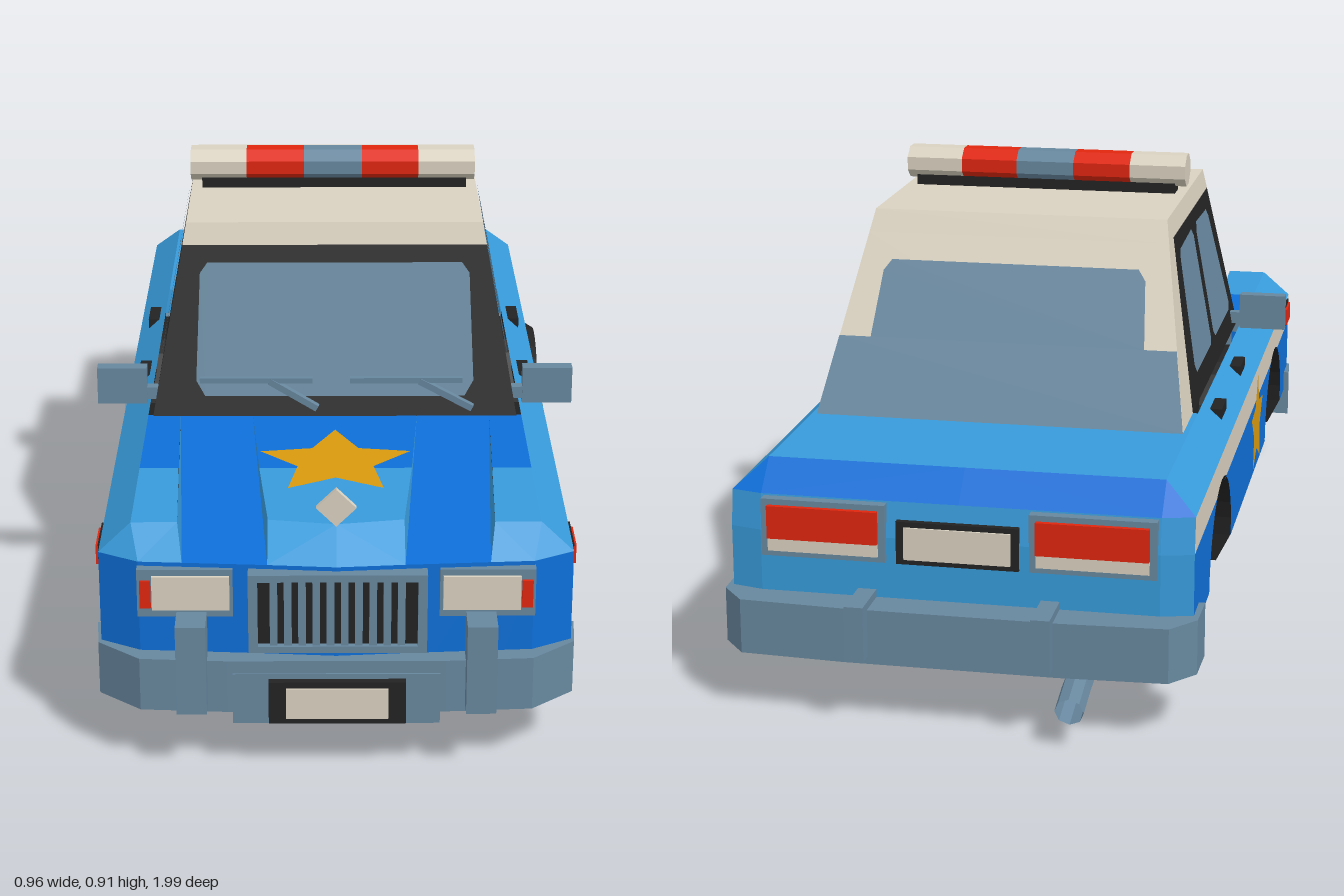
import * as THREE from 'three';

const mat = (name, color) => Object.assign(
  new THREE.MeshStandardMaterial({ color, flatShading: true, side: THREE.DoubleSide }), { name });
const blue = mat('body blue', 0x0e6fd8), light = mat('light blue', 0x389bdb), cream = mat('cream', 0xd9d1c0),
  black = mat('black', 0x232323), steel = mat('steel', 0x67879e), red = mat('red', 0xe0260f), gold = mat('gold', 0xd9990f);

export function createModel() {
  const car = new THREE.Group();
  car.name = 'patrolCar';
  const SIDES = [1, -1];

  const add = (name, geo, m, x = 0, y = 0, z = 0) => {
    const mesh = new THREE.Mesh(geo, m);
    mesh.name = name;
    mesh.position.set(x, y, z);
    car.add(mesh);
    return mesh;
  };
  // Box from its limits
  const box = (name, m, x0, x1, y0, y1, z0, z1) => add(name,
    new THREE.BoxGeometry(Math.abs(x1 - x0), y1 - y0, z1 - z0), m, (x0 + x1) / 2, (y0 + y1) / 2, (z0 + z1) / 2);
  // Flat convex faces, each given as a loop of corners
  const faces = (name, m, polys) => {
    const p = [];
    for (const f of polys) for (let i = 1; i < f.length - 1; i++) p.push(...f[0], ...f[i], ...f[i + 1]);
    const g = new THREE.BufferGeometry();
    g.setAttribute('position', new THREE.Float32BufferAttribute(p, 3));
    g.computeVertexNormals();
    return add(name, g, m);
  };
  // The same faces on both sides of the car
  const both = (name, m, polys) => SIDES.forEach(s =>
    faces(name, m, polys.map(f => f.map(([x, y, z]) => [s * x, y, z]))));
  // Thin bar between two points
  const bar = (name, m, a, b, w) => {
    const A = new THREE.Vector3(...a), B = new THREE.Vector3(...b);
    const mesh = add(name, new THREE.BoxGeometry(w, w, A.distanceTo(B)), m);
    mesh.position.copy(A).add(B).multiplyScalar(0.5);
    mesh.lookAt(B);
  };
  // Piecewise linear lookup
  const lerp = (t, v) => {
    for (let i = 1; i < t.length; i++) if (v <= t[i][0] || i === t.length - 1) {
      const [a, p] = t[i - 1], [b, q] = t[i];
      return p + (q - p) * (v - a) / (b - a);
    }
  };

  // Body sides: colour bands that stop at the wheel arches
  const bodyX = y => lerp([[0.12, 0.405], [0.18, 0.435], [0.405, 0.435], [0.46, 0.375]], y);
  const frontZ = y => lerp([[0.12, 0.88], [0.405, 0.88], [0.46, 0.87]], y);
  const rearZ = y => lerp([[0.12, -0.84], [0.18, -0.85], [0.337, -0.85], [0.405, -0.84], [0.46, -0.8]], y);
  const at = (z, y) => [bodyX(y), y, Math.min(frontZ(y), Math.max(rearZ(y), z))];
  const edge = [[1, 0.12]];
  for (const c of [0.55, -0.45]) {
    edge.push([c + 0.175, 0.12]);
    for (let i = 0; i <= 14; i++) {
      const t = Math.PI * i / 14;
      edge.push([c + 0.175 * Math.cos(t), 0.177 + 0.175 * Math.sin(t)]);
    }
    edge.push([c - 0.175, 0.12]);
  }
  edge.push([-1, 0.12]);
  const segs = edge.slice(1).map((b, i) => [edge[i], b]);
  const bands = [['sill', blue, 0.12, 0.18], ['bodySide', blue, 0.18, 0.337],
    ['sideStripe', cream, 0.337, 0.405], ['shoulder', light, 0.405, 0.46]];
  for (const [name, m, y0, y1] of bands) {
    const low = yb => Math.min(y1, Math.max(y0, yb));
    both(name, m, segs.filter(([a, b]) => a[0] - b[0] > 1e-4).map(([a, b]) =>
      [at(a[0], low(a[1])), at(b[0], low(b[1])), at(b[0], y1), at(a[0], y1)]));
  }
  // Arch linings and floor
  both('archLining', black, segs.map(([a, b]) => {
    const p = at(...a), q = at(...b);
    return [p, q, [0.28, q[1], q[2]], [0.28, p[1], p[2]]];
  }));
  box('floor', black, -0.28, 0.28, 0.12, 0.39, -0.84, 0.88);

  // Front fascia and rear panel
  const nose = [[0, 0.945], [0.125, 0.935], [0.28, 0.925], [0.36, 0.92], [0.435, 0.88]];
  both('frontFascia', blue, nose.slice(1).map(([x, z], i) =>
    [[nose[i][0], 0.12, nose[i][1]], [x, 0.12, z], [x, 0.405, z], [nose[i][0], 0.405, nose[i][1]]]));
  const rearPoint = (x, y) => [x, y, rearZ(y) - 0.015];
  both('rearPanel', light, [[0.12, 0.18], [0.18, 0.337], [0.337, 0.405]].flatMap(([a, b]) => [
    [rearPoint(0, a), rearPoint(0.375, a), rearPoint(0.375, b), rearPoint(0, b)],
    [rearPoint(0.375, a), at(-1, a), at(-1, b), rearPoint(0.375, b)]]));
  both('trunkLip', blue, [[[0, 0.46, -0.8], at(-1, 0.46), rearPoint(0.375, 0.405), rearPoint(0, 0.405)],
    [at(-1, 0.46), at(-1, 0.405), rearPoint(0.375, 0.405)]]);
  both('trunkLid', light, [[[0, 0.46, -0.8], [0.375, 0.46, -0.8], [0.375, 0.46, -0.37], [0, 0.46, -0.37]]]);

  // Hood: raised centre and fenders with a sloping valley between them
  both('hoodRear', blue, [
    [[0, 0.46, 0.3], [0.17, 0.46, 0.3], [0.146, 0.46, 0.63], [0, 0.46, 0.63]],
    [[0.31, 0.46, 0.37], [0.375, 0.46, 0.37], [0.375, 0.46, 0.63], [0.3, 0.46, 0.63]]]);
  both('hoodFront', light, [
    [[0, 0.46, 0.63], [0.146, 0.46, 0.63], [0.125, 0.46, 0.86], [0, 0.46, 0.88]],
    [[0.3, 0.46, 0.63], [0.375, 0.46, 0.63], [0.375, 0.46, 0.87], [0.29, 0.46, 0.87]],
    [[0, 0.46, 0.88], [0.125, 0.46, 0.86], [0.125, 0.405, 0.935], [0, 0.405, 0.945]],
    [[0.29, 0.46, 0.87], [0.375, 0.46, 0.87], [0.36, 0.405, 0.92], [0.28, 0.405, 0.925]],
    [[0.375, 0.46, 0.87], [0.435, 0.405, 0.88], [0.36, 0.405, 0.92]],
    [[0.165, 0.46, 0.37], [0.125, 0.46, 0.86], [0.125, 0.405, 0.935]],
    [[0.31, 0.46, 0.37], [0.29, 0.46, 0.87], [0.28, 0.405, 0.925]]]);
  both('hoodValley', blue, [[[0.165, 0.46, 0.37], [0.31, 0.46, 0.37], [0.28, 0.405, 0.925], [0.125, 0.405, 0.935]]]);

  // Cabin: every wall leans inward at a constant slope
  const cx = y => 0.365 - 0.06 * (y - 0.46) / 0.327;
  const cf = y => 0.375 - 0.12 * (y - 0.46) / 0.37;
  const cr = y => -0.51 + 0.225 * (y - 0.46) / 0.37;
  const side = (pts, off = 0) => pts.map(([z, y]) => [cx(y) + off, y, z]);
  const front = (pts, off = 0) => pts.map(([x, y]) => [x, y, cf(y) + off]);
  const rear = (pts, off = 0) => pts.map(([x, y]) => [x, y, cr(y) - off]);
  const wall = (a, b) => [[-cx(a), a], [cx(a), a], [cx(b), b], [-cx(b), b]];
  both('doorFrame', black, [side([[cf(0.46), 0.46], [-0.37, 0.46], [-0.25, 0.787], [cf(0.787), 0.787]])]);
  both('frontSideWindow', steel, [side([[0.28, 0.53], [0.265, 0.515], [0.03, 0.515], [0.012, 0.53],
    [0.012, 0.745], [0.03, 0.762], [0.18, 0.757], [0.2, 0.74]], 0.004)]);
  both('rearSideWindow', steel, [side([[-0.045, 0.515], [-0.265, 0.515], [-0.28, 0.535], [-0.232, 0.74],
    [-0.215, 0.757], [-0.05, 0.762], [-0.03, 0.745], [-0.03, 0.53]], 0.004)]);
  both('rearPillar', cream, [side([[-0.317, 0.605], [cr(0.605), 0.605], [cr(0.787), 0.787], [-0.25, 0.787]])]);
  SIDES.forEach(s => faces('rearPillarBase', s > 0 ? steel : cream,
    [side([[-0.37, 0.46], [cr(0.46), 0.46], [cr(0.605), 0.605], [-0.317, 0.605]]).map(([x, y, z]) => [s * x, y, z])]));
  faces('windshieldFrame', black, [front(wall(0.46, 0.787))]);
  faces('windshield', steel, [front([[-0.26, 0.5], [0.26, 0.5], [0.278, 0.53], [0.27, 0.735], [0.255, 0.755],
    [-0.255, 0.755], [-0.27, 0.735], [-0.278, 0.53]], 0.005)]);
  faces('rearFrame', cream, [rear(wall(0.46, 0.787))]);
  faces('rearWindow', steel, [rear(wall(0.46, 0.6), 0.004),
    rear([[-0.275, 0.6], [0.275, 0.6], [0.265, 0.72], [0.25, 0.74], [-0.25, 0.74], [-0.265, 0.72]], 0.004)]);
  faces('roof', cream, [front(wall(0.787, 0.83)), rear(wall(0.787, 0.83)),
    [...front(wall(0.83, 0.83).slice(0, 2)), ...rear([[cx(0.83), 0.83], [-cx(0.83), 0.83]])]]);
  both('roofEdge', cream, [side([[cf(0.787), 0.787], [cr(0.787), 0.787], [cr(0.83), 0.83], [cf(0.83), 0.83]])]);

  // Wipers
  for (const [x0, x1, ax, bx] of [[-0.27, -0.045, -0.13, -0.035], [0.03, 0.255, 0.17, 0.275]]) {
    bar('wiperBlade', steel, [x0, 0.537, 0.372], [x1, 0.537, 0.372], 0.011);
    bar('wiperArm', steel, [ax, 0.535, 0.372], [bx, 0.482, 0.385], 0.013);
  }

  // Roof light bar
  box('lightBarMount', black, -0.275, 0.275, 0.828, 0.852, -0.025, 0.025);
  for (const [a, b, m] of [[-0.298, -0.182, cream], [-0.182, -0.063, red], [-0.063, 0.058, steel],
    [0.058, 0.175, red], [0.175, 0.292, cream]]) {
    const g = new THREE.CylinderGeometry(0.035, 0.035, b - a, 8).rotateY(Math.PI / 8);
    add('lightBarSegment', g.rotateZ(Math.PI / 2).scale(1, 1, 1.25), m, (a + b) / 2, 0.877, 0);
  }

  // Star badges on hood and doors
  const star = r => {
    const s = new THREE.Shape();
    for (let i = 0; i < 10; i++) {
      const t = Math.PI * i / 5, k = i % 2 ? r * 0.5 : r;
      s[i ? 'lineTo' : 'moveTo'](k * Math.sin(t), k * Math.cos(t));
    }
    return new THREE.ShapeGeometry(s);
  };
  add('hoodStar', star(0.153).rotateX(-Math.PI / 2), gold, 0, 0.464, 0.607);
  SIDES.forEach(s => add('doorStar', star(0.113).rotateY(s * Math.PI / 2), gold, s * 0.439, 0.288, 0.155));

  // Hood ornament
  add('hoodOrnament', new THREE.BoxGeometry(0.052, 0.052, 0.012).rotateZ(Math.PI / 4), cream, 0, 0.497, 0.885);

  // Grille
  box('grilleBack', black, -0.15, 0.155, 0.25, 0.385, 0.93, 0.95);
  for (const [a, b, c, d] of [[-0.16, 0.165, 0.24, 0.253], [-0.16, 0.165, 0.383, 0.397],
    [-0.16, -0.143, 0.24, 0.397], [0.148, 0.165, 0.24, 0.397]]) box('grilleFrame', steel, a, b, c, d, 0.92, 0.962);
  for (let i = 0; i < 10; i++) {
    const x = -0.114 + i * 0.0258;
    box('grilleSlat', steel, x - 0.007, x + 0.007, 0.25, 0.385, 0.94, 0.957);
  }

  // Bumpers from plan outlines
  const bumper = (name, half, y0, h) => {
    const pts = [...half, ...half.slice().reverse().map(([x, z]) => [-x, z])];
    const s = new THREE.Shape(pts.map(([x, z]) => new THREE.Vector2(x, -z)));
    add(name, new THREE.ExtrudeGeometry(s, { depth: h, bevelEnabled: false }).rotateX(-Math.PI / 2), steel, 0, y0, 0);
  };
  bumper('frontBumper', [[0.39, 0.87], [0.41, 0.81], [0.447, 0.81], [0.44, 0.89], [0.36, 0.955], [0.2, 0.965]], 0.12, 0.105);
  box('frontBumperCentre', steel, -0.19, 0.19, 0.098, 0.2, 0.87, 0.968);
  bumper('rearBumper', [[0.39, -0.84], [0.41, -0.78], [0.447, -0.78], [0.445, -0.87], [0.4, -0.925], [0.2, -0.935]], 0.115, 0.105);

  SIDES.forEach(s => {
    box('frontOverrider', steel, s * 0.236, s * 0.291, 0.135, 0.312, 0.915, 1);
    box('rearOverrider', steel, s * 0.155, s * 0.19, 0.13, 0.235, -0.965, -0.85);
    // Headlights and turn signals
    box('headlightFrame', steel, s * 0.188, s * 0.362, 0.303, 0.397, 0.88, 0.938);
    box('headlight', cream, s * 0.194, s * 0.335, 0.318, 0.385, 0.9, 0.944);
    box('turnSignal', red, s * 0.337, s * 0.357, 0.322, 0.376, 0.9, 0.943);
    box('sideMarkerFrame', black, s * 0.43, s * 0.439, 0.35, 0.403, 0.75, 0.842);
    box('sideMarker', red, s * 0.43, s * 0.444, 0.358, 0.396, 0.757, 0.835);
    // Tail lights
    box('tailLightFrame', steel, s * 0.135, s * 0.37, 0.292, 0.402, -0.876, -0.83);
    box('tailLight', red, s * 0.148, s * 0.357, 0.328, 0.391, -0.886, -0.84);
    box('reverseLight', cream, s * 0.148, s * 0.357, 0.303, 0.328, -0.881, -0.84);
    // Mirrors and door handles
    box('mirrorStalk', steel, s * 0.345, s * 0.39, 0.475, 0.5, 0.3, 0.32);
    box('mirror', steel, s * 0.38, s * 0.48, 0.466, 0.542, 0.295, 0.322);
    for (const z of [0.08, -0.25]) box('doorHandle', black, s * 0.38, s * 0.413, 0.425, 0.447, z - 0.04, z + 0.04);
  });

  // Number plates, left blank
  box('frontPlateHolder', black, -0.124, 0.127, 0.105, 0.19, 0.95, 0.982);
  box('frontPlate', cream, -0.092, 0.095, 0.117, 0.178, 0.978, 0.986);
  box('rearPlateHolder', black, -0.115, 0.115, 0.29, 0.372, -0.872, -0.84);
  box('rearPlate', cream, -0.1, 0.1, 0.3, 0.362, -0.876, -0.86);

  // Exhaust pipe
  const path = new THREE.CatmullRomCurve3([[0.11, -0.55], [0.1, -0.75], [0.09, -0.9], [0.072, -0.985]]
    .map(([y, z]) => new THREE.Vector3(-0.23, y, z)));
  add('exhaust', new THREE.TubeGeometry(path, 6, 0.027, 8), steel);

  // The single remaining rear wheel
  const spin = (name, pts, m) => add(name, new THREE.LatheGeometry(pts.map(p => new THREE.Vector2(...p)), 28)
    .rotateZ(-Math.PI / 2), m, 0.345, 0.17, -0.45);
  spin('tyre', [[0, 0], [0.145, 0], [0.17, 0.025], [0.17, 0.1], [0.155, 0.125], [0.115, 0.125], [0.105, 0.112], [0, 0.112]], black);
  spin('wheelRim', [[0.108, 0.112], [0.105, 0.12], [0.07, 0.114]], steel);
  spin('hub', [[0.07, 0.112], [0.065, 0.12], [0, 0.12]], black);

  return car;
}
